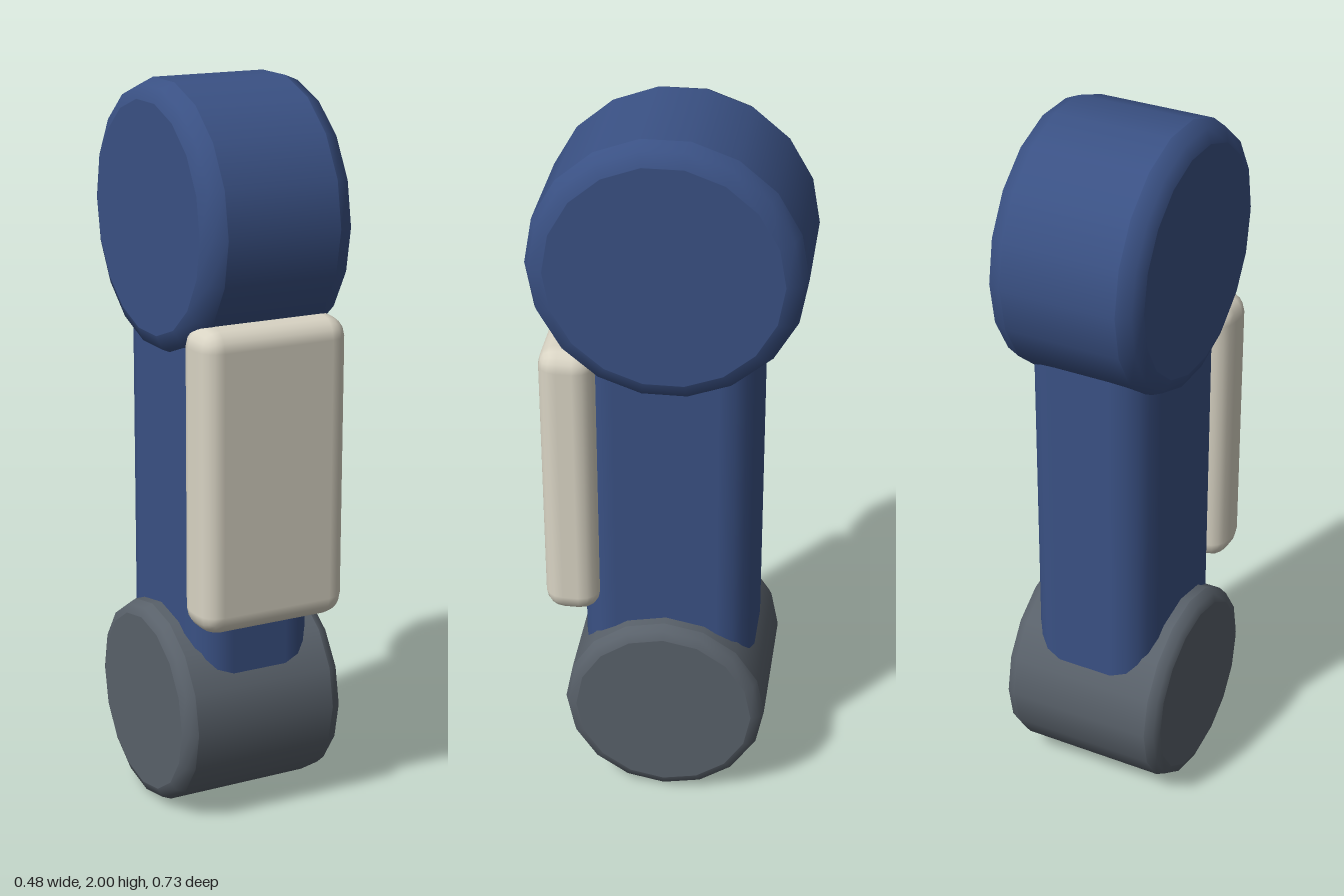
import * as THREE from 'three';
import { RoundedBoxGeometry } from 'three/addons/geometries/RoundedBoxGeometry.js';

const material = (name, color) => {
  const m = new THREE.MeshStandardMaterial({ color });
  m.name = name;
  return m;
};

// Bevelled drum lying along x; doubled rings keep the caps and wall evenly shaded
function drumGeometry(radius, halfWidth, bevel, sides) {
  const e = 0.001;
  const half = [[0, halfWidth], [radius - bevel - e, halfWidth]];
  for (let i = 0; i <= 2; i++) {
    const a = (i / 2) * Math.PI / 2;
    half.push([radius - bevel + bevel * Math.sin(a), halfWidth - bevel + bevel * Math.cos(a)]);
  }
  half.push([radius, halfWidth - bevel - e]);
  const lower = half.map(([r, y]) => new THREE.Vector2(r, -y));
  const upper = half.map(([r, y]) => new THREE.Vector2(r, y)).reverse();
  return new THREE.LatheGeometry([...lower, ...upper], sides).rotateZ(Math.PI / 2);
}

export function createModel() {
  const blue = material('blue', 0x3a5184);
  const grey = material('dark grey', 0x59616a);
  const cream = material('cream', 0xd9d4c4);
  const group = new THREE.Group();
  group.name = 'limbSegment';

  const add = (name, geometry, mat, y, z = 0) => {
    const mesh = new THREE.Mesh(geometry, mat);
    mesh.name = name;
    mesh.position.set(0, y, z);
    group.add(mesh);
  };

  // Large upper joint and smaller lower joint
  add('upperJoint', drumGeometry(0.363, 0.215, 0.053, 18), blue, 1.643);
  add('lowerJoint', drumGeometry(0.283, 0.242, 0.034, 16), grey, 0.283);

  // Rounded shaft, its ends buried in the joints
  add('shaft', new RoundedBoxGeometry(0.36, 1.34, 0.48, 2, 0.1), blue, 0.92);

  // Padded plate on the front of the shaft
  add('frontPlate', new RoundedBoxGeometry(0.43, 0.83, 0.155, 2, 0.057), cream, 0.99, 0.261);

  return group;
}
